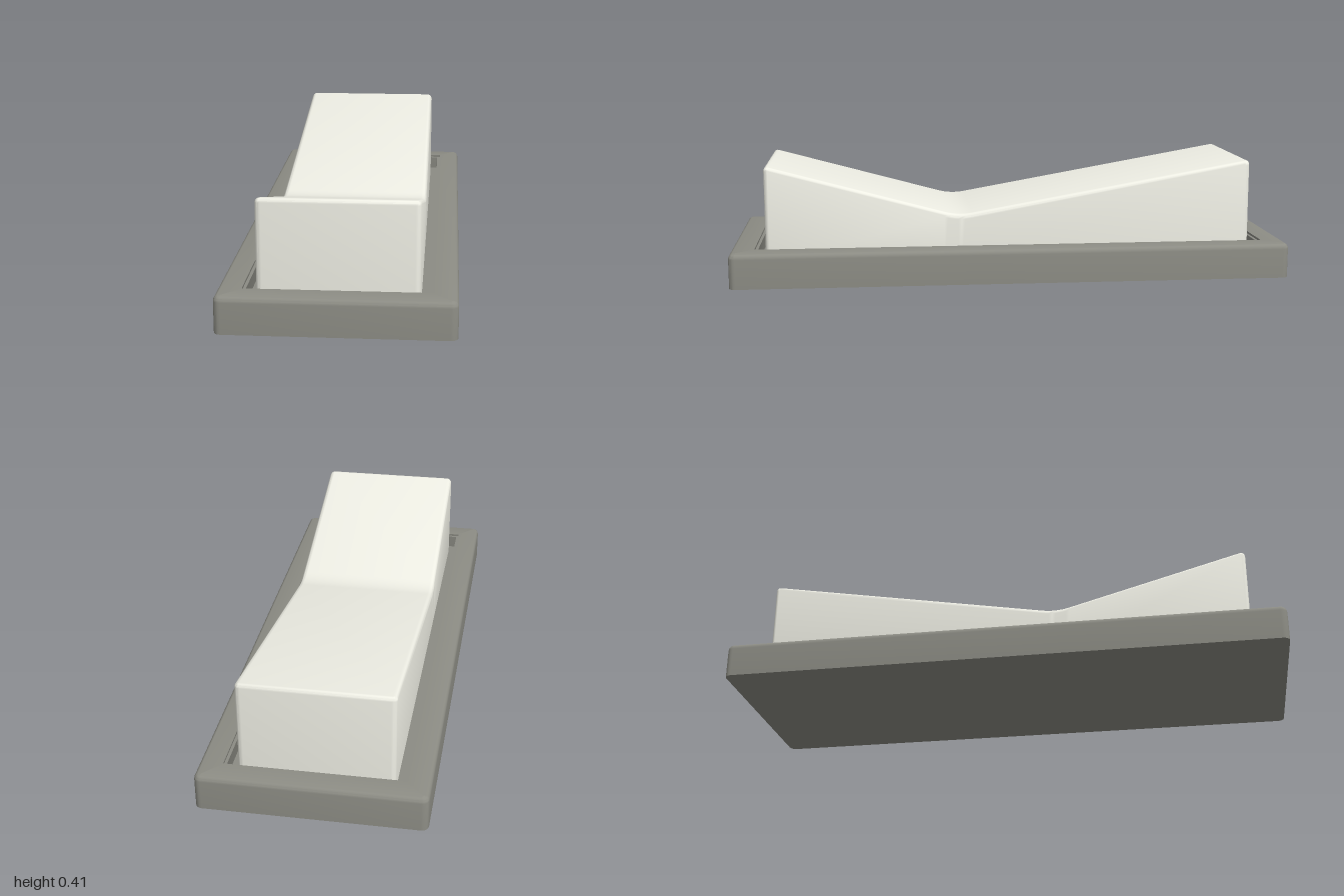
import * as THREE from 'three';
import { toCreasedNormals } from 'three/addons/utils/BufferGeometryUtils.js';

const ARC = 5; // segments per rounded corner and per rounded edge
const VALLEY = 0.19, BLEND = 0.05; // position and half width of the rocker's soft crease

// Rounded rectangle outline: the +x half from front to back, then its mirror image.
function outline(hx, hz, r) {
  const half = [];
  const corner = (sign, from) => {
    for (let i = 0; i <= ARC; i++) {
      const a = from - (i / ARC) * Math.PI / 2;
      half.push([hx - r + r * Math.cos(a), sign * (hz - r) + r * Math.sin(a)]);
    }
  };
  corner(1, Math.PI / 2);
  for (let i = 0; i <= 8; i++) half.push([hx, VALLEY + BLEND * (1 - i / 4)]);
  corner(-1, 0);
  return [...half, ...half.map(([x, z]) => [-x, z]).reverse()];
}

// Skin a stack of outlines { hx, hz, r, y(z) } and close both ends.
function loft(rings) {
  const pos = [], index = [];
  let n = 0;
  for (const { hx, hz, r, y } of rings) {
    const pts = outline(hx, hz, r);
    n = pts.length;
    for (const [x, z] of pts) pos.push(x, y(z), z);
  }
  for (let k = 0; k < rings.length - 1; k++) {
    for (let i = 0; i < n; i++) {
      const a = k * n + i, b = k * n + (i + 1) % n;
      index.push(a, b, b + n, a, b + n, a + n);
    }
  }
  // Caps are strips joining each point to its mirror twin
  const last = (rings.length - 1) * n;
  for (let i = 0; i < n / 2 - 1; i++) {
    const a = i, b = i + 1, c = n - 2 - i, d = n - 1 - i;
    index.push(last + a, last + b, last + c, last + a, last + c, last + d);
    index.push(a, c, b, a, d, c);
  }
  const geo = new THREE.BufferGeometry();
  geo.setAttribute('position', new THREE.Float32BufferAttribute(pos, 3));
  geo.setIndex(index);
  return toCreasedNormals(geo, 0.6);
}

// Straight wall that rolls over into a rounded top edge.
function roundedWall(hx, hz, corner, edge, bottom, top) {
  const rings = [{ hx, hz, r: corner, y: () => bottom }];
  for (let i = 0; i <= ARC; i++) {
    const a = (i / ARC) * Math.PI / 2;
    const inset = edge * (1 - Math.cos(a)), drop = edge * (1 - Math.sin(a));
    rings.push({ hx: hx - inset, hz: hz - inset, r: corner - inset, y: (z) => top(z) - drop });
  }
  return rings;
}

// Two ramps of different slope meeting in a soft valley.
function rockerTop(z) {
  const d = z - VALLEY, front = 0.272, back = 0.176;
  const bend = Math.abs(d) < BLEND ? (d * d + BLEND * BLEND) / (2 * BLEND) : Math.abs(d);
  return 0.227 + d * (front - back) / 2 + bend * (front + back) / 2;
}

export function createModel() {
  const group = new THREE.Group();
  const add = (name, geometry, color) => {
    const mesh = new THREE.Mesh(geometry, new THREE.MeshStandardMaterial({ color }));
    mesh.name = name;
    group.add(mesh);
  };
  const floor = 0.07, height = 0.125;

  // Base frame with a stepped rectangular recess
  const recess = [
    [0.302, 0.915, height], [0.302, 0.915, height - 0.008],
    [0.292, 0.905, height - 0.008], [0.292, 0.905, floor],
  ].map(([hx, hz, y]) => ({ hx, hz, r: 0.003, y: () => y }));
  add('baseFrame', loft([
    ...roundedWall(0.383, 1, 0.024, 0.02, 0, () => height),
    ...recess,
  ]), 0x8c8c84);

  // Rocker paddle standing in the recess
  add('rockerPaddle', loft(roundedWall(0.264, 0.88, 0.02, 0.018, floor, rockerTop)), 0xeeeee4);

  return group;
}
